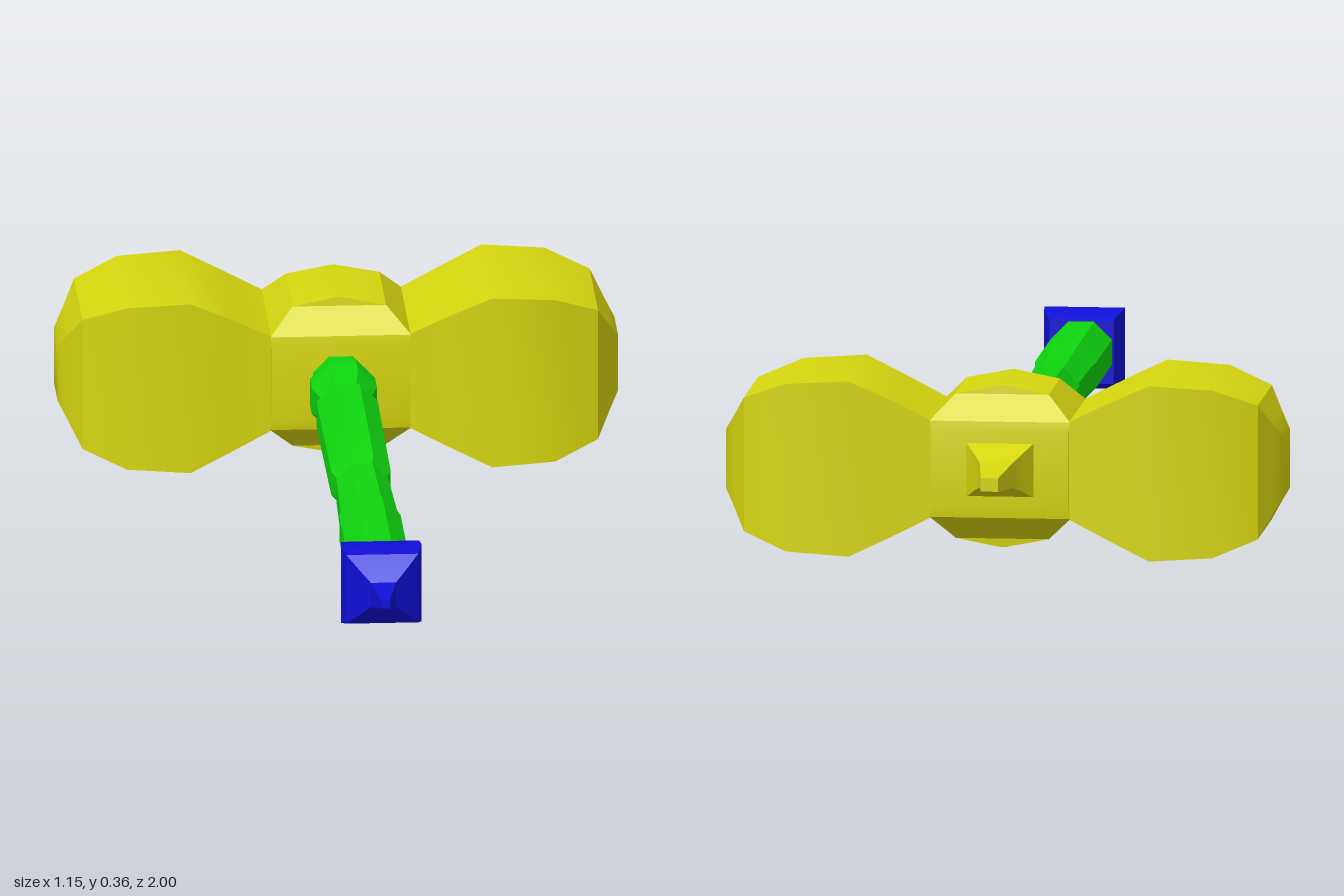
import * as THREE from 'three';
import { toCreasedNormals } from 'three/addons/utils/BufferGeometryUtils.js';

const CY = 0.185; // height of the handle axis
const HEAD_Z = -0.638;

// Loft along +z through sections [z, halfWidth, halfHeight] with n flat sides
function loft(sections, n = 4) {
  const pos = [], idx = [];
  for (const [t, a, b] of sections) {
    for (let i = 0; i < n; i++) {
      const ang = (2 * i + 1) * Math.PI / n, k = 1 / Math.cos(Math.PI / n);
      pos.push(Math.cos(ang) * a * k, Math.sin(ang) * b * k, t);
    }
  }
  const last = (sections.length - 1) * n;
  for (let j = 0; j < last; j += n) {
    for (let i = 0; i < n; i++) {
      const p = j + i, q = j + (i + 1) % n;
      idx.push(p, q, q + n, p, q + n, p + n);
    }
  }
  for (let i = 1; i < n - 1; i++) {
    idx.push(0, i + 1, i, last, last + i, last + i + 1);
  }
  const g = new THREE.BufferGeometry();
  g.setAttribute('position', new THREE.Float32BufferAttribute(pos, 3));
  g.setIndex(idx);
  return g;
}

// Repeat a half profile on the negative side
const mirrored = (half) => [...half.map(([t, a, b]) => [-t, a, b]).reverse(), ...half];

export function createModel() {
  const model = new THREE.Group();
  const gold = new THREE.MeshStandardMaterial({ color: 0xd6d60f });
  const green = new THREE.MeshStandardMaterial({ color: 0x0fd60f });
  const blue = new THREE.MeshStandardMaterial({ color: 0x0f0fd6 });

  function add(name, geometry, material, z = 0) {
    const mesh = new THREE.Mesh(toCreasedNormals(geometry, 0.55), material);
    mesh.name = name;
    mesh.position.set(0, CY, z);
    model.add(mesh);
  }

  // Two flared striking lobes joined by a narrow waist, with stepped end faces
  const head = mirrored([
    [0.10, 0.155, 0.085], [0.14, 0.157, 0.1], [0.22, 0.166, 0.14], [0.31, 0.181, 0.182],
    [0.44, 0.175, 0.174], [0.53, 0.139, 0.139], [0.555, 0.095, 0.095], [0.576, 0.06, 0.06],
  ]);
  add('hammerHead', loft(head).rotateY(Math.PI / 2), gold, HEAD_Z);

  // Central block with bevelled, slightly ridged bosses above and below
  const block = mirrored([
    [0.08, 0.142, 0.161], [0.1, 0.145, 0.158], [0.15, 0.096, 0.11], [0.168, 0.005, 0.108],
  ]);
  add('centreBlock', loft(block).rotateX(-Math.PI / 2), gold, HEAD_Z);

  // Tapered spike on the back of the head
  const spike = [[0.78, 0.078, 0.06], [0.81, 0.064, 0.052], [0.835, 0.048, 0.037],
    [0.87, 0.034, 0.026], [1, 0.018, 0.014]];
  add('backSpike', loft(spike).rotateY(Math.PI), gold);

  // Octagonal handle with a collar and worn grip
  const handle = [
    [-0.5, 0.056], [-0.46, 0.058], [-0.42, 0.067], [-0.36, 0.067], [-0.31, 0.052],
    [-0.285, 0.054], [-0.275, 0.063], [0.19, 0.061], [0.22, 0.052], [0.25, 0.054],
    [0.45, 0.058], [0.49, 0.063], [0.82, 0.063],
  ].map(([z, r]) => [z, r, r]);
  add('handle', loft(handle, 8), green);

  // Square pommel drawn out into a point
  const pommel = [
    [0.795, 0.066], [0.825, 0.08], [0.86, 0.083], [0.895, 0.074], [0.918, 0.048],
    [0.935, 0.026], [1, 0.009],
  ].map(([z, r]) => [z, r, r]);
  add('pommel', loft(pommel), blue);

  return model;
}
